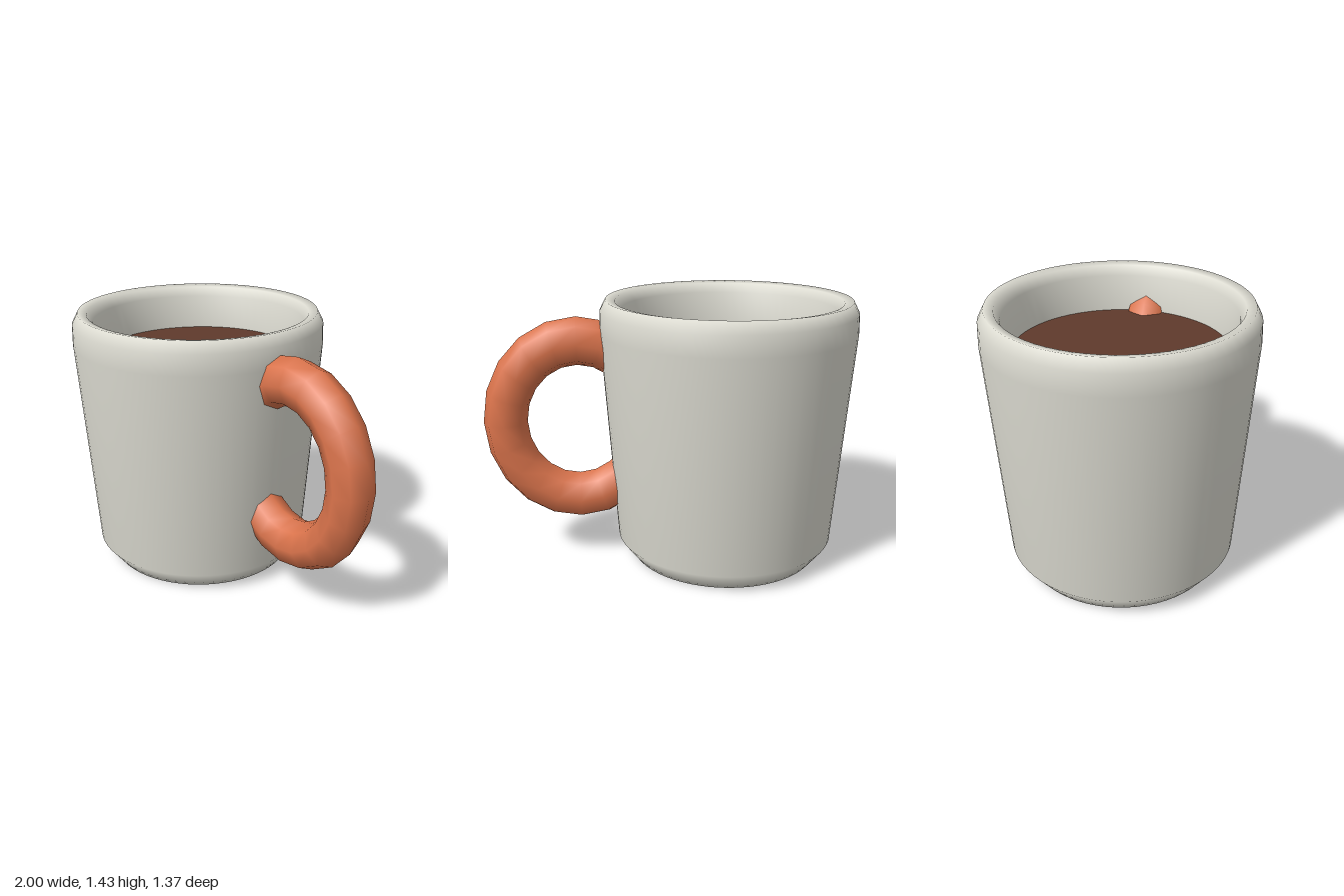
import * as THREE from 'three';

const SEGMENTS = 64;
const CUP_X = -0.315;

function material(name, color) {
  const m = new THREE.MeshStandardMaterial({ color });
  m.name = name;
  return m;
}

export function createModel() {
  const group = new THREE.Group();
  group.name = 'mug';

  const add = (name, geometry, mat, x, y) => {
    const mesh = new THREE.Mesh(geometry, mat);
    mesh.name = name;
    mesh.position.set(x, y, 0);
    group.add(mesh);
    return mesh;
  };

  // Cup wall: outside from the base up, over the rounded rim, down the inside
  const profile = [
    [0, 0], [0.52, 0], [0.6, 0.105],
    [0.684, 1.26], [0.681, 1.37], [0.65, 1.43],
    [0.602, 1.42], [0.575, 1.37], [0.543, 1.18],
    [0.5, 0.16], [0, 0.12],
  ].map(([r, y]) => new THREE.Vector2(r, y));
  add('cup', new THREE.LatheGeometry(profile, SEGMENTS), material('glazed grey', 0xdcdbd1), CUP_X, 0);

  // Drink surface
  const disc = new THREE.CircleGeometry(0.543, SEGMENTS).rotateX(-Math.PI / 2);
  add('drink', disc, material('coffee brown', 0x5f3a2c), CUP_X, 1.185);

  // Ring handle, slightly narrowed, running through the cup wall
  const handle = add('handle', new THREE.TorusGeometry(0.435, 0.13, 8, 20),
    material('terracotta', 0xdb744c), 0.492, 0.78);
  handle.scale.set(0.9, 1, 0.92);

  return group;
}
